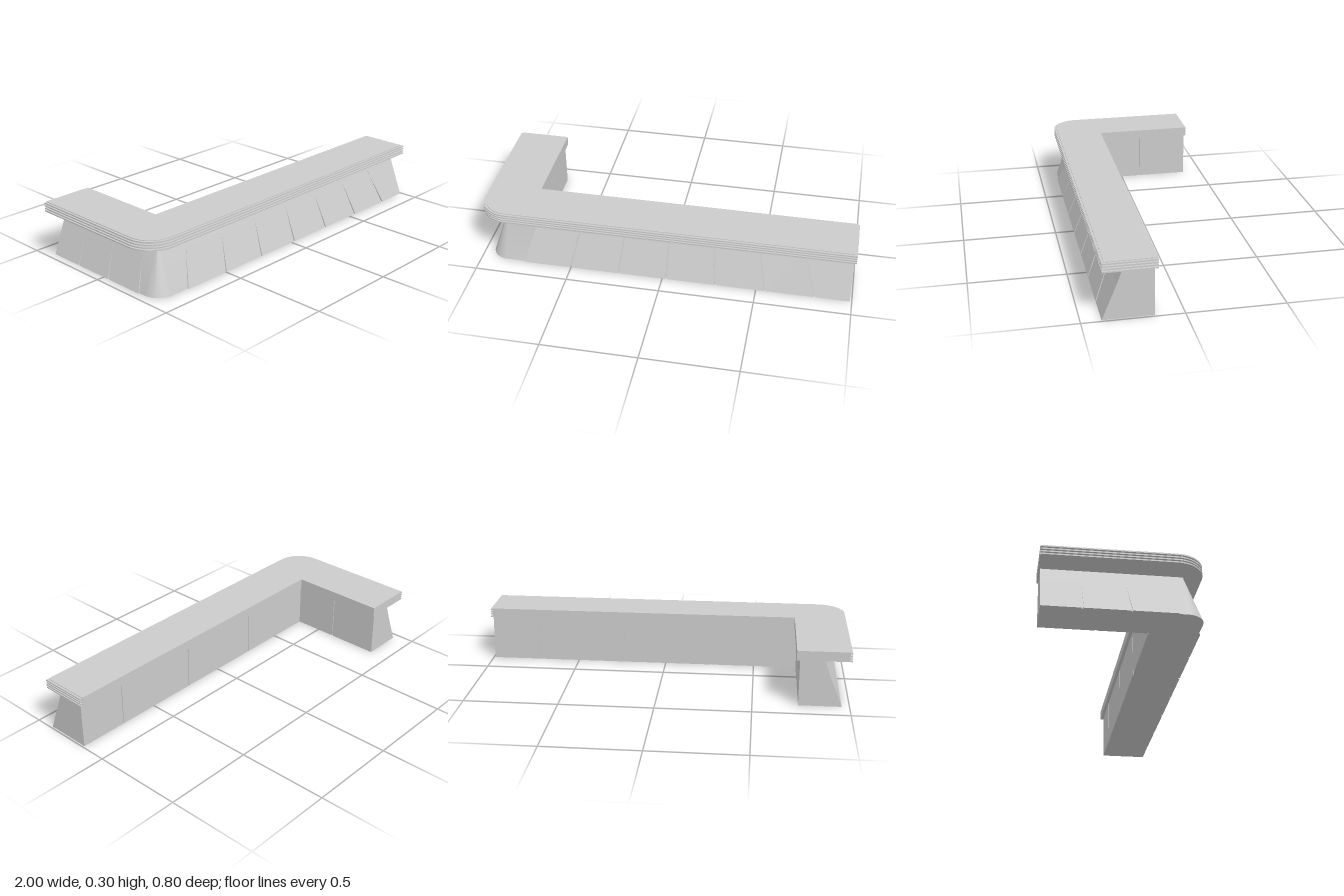
import * as THREE from 'three';
import { toCreasedNormals } from 'three/addons/utils/BufferGeometryUtils.js';

const material = new THREE.MeshStandardMaterial({ color: 0xcccccc });

function add(parent, name, geometry) {
  const mesh = new THREE.Mesh(geometry, material);
  mesh.name = name;
  parent.add(mesh);
  return mesh;
}

// L-shaped outline in plan (x, z) with a rounded outer corner
function outline({ left, right, front, back, inner, end, rx, rz }) {
  const s = new THREE.Shape();
  s.moveTo(left, end);
  s.lineTo(inner, end);
  s.lineTo(inner, back);
  s.lineTo(right, back);
  s.lineTo(right, front);
  s.lineTo(left + rx, front);
  s.absellipse(left + rx, front - rz, rx, rz, Math.PI / 2, Math.PI, false);
  return s;
}

function slab(shape, y0, y1) {
  const g = new THREE.ExtrudeGeometry(shape, { depth: y1 - y0, bevelEnabled: false, curveSegments: 16 });
  g.rotateX(Math.PI / 2);
  g.translate(0, y1, 0);
  return g;
}

// Panel lying on a sloping face, thick at the bottom and fading out at the top
function wedge(bottom, top, outBottom, outTop, height) {
  const g = new THREE.BoxGeometry(1, 1, 1);
  const p = g.attributes.position;
  for (let i = 0; i < p.count; i++) {
    const up = p.getY(i) > 0;
    const side = p.getX(i) > 0 ? 1 : 0;
    const depth = p.getZ(i) > 0 ? 0 : 0.02;
    p.setXYZ(i, (up ? top : bottom)[side], up ? height : 0, (up ? outTop : outBottom) - depth);
  }
  g.computeVertexNormals();
  return g;
}

export function createModel() {
  const model = new THREE.Group();
  model.name = 'cornerCounter';
  const H = 0.25;

  // Base core: the outer faces lean in towards the top
  const base = slab(outline({
    left: -0.953, right: 0.989, front: 0.392, back: 0.151,
    inner: -0.741, end: -0.392, rx: 0.093, rz: 0.094,
  }), 0, H);
  const p = base.attributes.position;
  for (let i = 0; i < p.count; i++) {
    if (p.getY(i) < H / 2) continue;
    const x = p.getX(i), z = p.getZ(i);
    if (x < -0.86) p.setX(i, -0.86 + (x + 0.86) * 0.04);
    if (z > 0.298) p.setZ(i, 0.298 + (z - 0.298) * 0.04);
  }
  add(model, 'baseCore', toCreasedNormals(base, 0.5));

  // Sloping panels with narrow gaps, seams converging upwards
  function panelRow(name, seams, middle, outBottom, outTop) {
    const row = new THREE.Group();
    row.name = name;
    const last = seams.length - 1;
    const lean = (v, i) => (i === last ? v : middle + (v - middle) * 0.9);
    for (let i = 0; i < last; i++) {
      const gap = i + 1 < last ? 0.01 : 0;
      const a = seams[i], b = seams[i + 1];
      add(row, 'slopingPanel', wedge([a, b - gap], [lean(a, i), lean(b, i + 1) - gap],
        outBottom, outTop, H));
    }
    model.add(row);
    return row;
  }
  panelRow('frontPanels', [-0.76, -0.495, -0.232, 0.028, 0.29, 0.553, 0.813, 0.99], 0.02, 0.4, 0.299);
  // The side row runs along z, its free end is square
  const sideRow = panelRow('sidePanels', [-0.26, -0.03, 0.2, 0.392], 0.3, 0.96, 0.861);
  sideRow.rotation.y = -Math.PI / 2;
  sideRow.scale.x = -1;

  // Upright panels on the inner faces
  const t = 0.02, gap = 0.007;
  const backSeams = [-0.737, -0.257, 0.237, 0.725, 0.99];
  for (let i = 0; i < 4; i++) {
    const a = backSeams[i], b = backSeams[i + 1] - (i < 3 ? gap : 0);
    add(model, 'backPanel', new THREE.BoxGeometry(b - a, H, t))
      .position.set((a + b) / 2, H / 2, 0.147 + t / 2);
  }
  for (const [a, b] of [[-0.392, -0.105 - gap], [-0.105, 0.147]]) {
    add(model, 'innerPanel', new THREE.BoxGeometry(t, H, b - a))
      .position.set(-0.737 - t / 2, H / 2, (a + b) / 2);
  }

  // Countertop core with bands standing proud of its outer edge
  add(model, 'countertop', toCreasedNormals(slab(outline({
    left: -0.988, right: 0.988, front: 0.385, back: 0.13,
    inner: -0.72, end: -0.4, rx: 0.135, rz: 0.135,
  }), 0.251, 0.302), 0.5));
  const bandShape = outline({
    left: -1, right: 1, front: 0.397, back: 0.131,
    inner: -0.721, end: -0.399, rx: 0.147, rz: 0.147,
  });
  for (let i = 0; i < 4; i++) {
    const y = 0.25 + i * 0.0138;
    add(model, 'edgeBand', toCreasedNormals(slab(bandShape, y, y + 0.007), 0.5));
  }
  return model;
}
